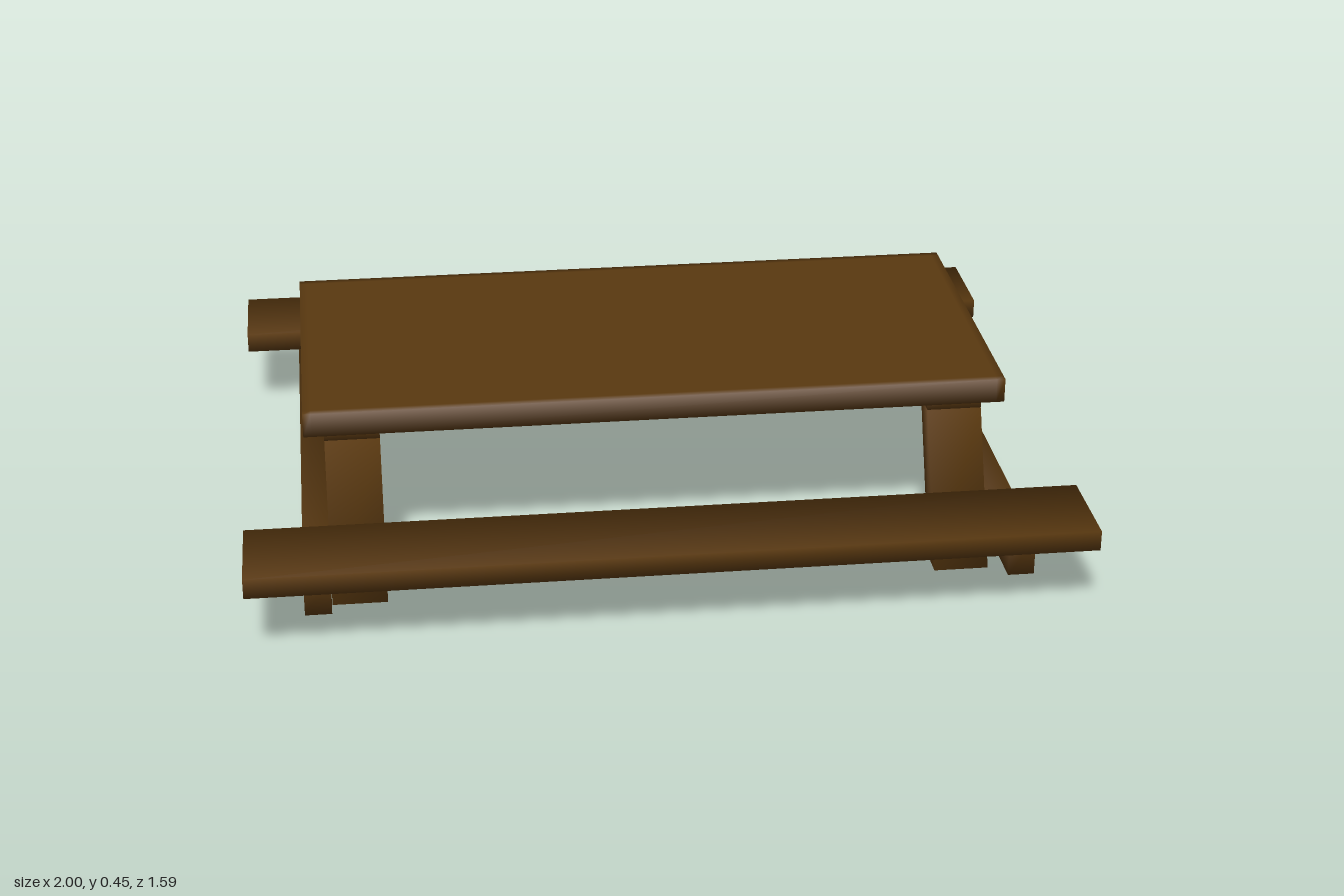
import * as THREE from 'three';

const wood = new THREE.MeshStandardMaterial({ color: 0x5a3910 });
wood.name = 'dark wood';

// Plank with soft, shared corner normals; an inset keeps the broad faces flat inside a thin rim.
function plank(name, [w, h, d], [x, y, z], { inset = 0, lean = 0 } = {}) {
  const n = inset ? 3 : 1;
  const geo = new THREE.BoxGeometry(w, h, d, n, 1, n);
  const pos = geo.attributes.position;
  const nor = geo.attributes.normal;
  const v = new THREE.Vector3();
  const half = new THREE.Vector3(w / 2, h / 2, d / 2);
  const side = (a, size) => (Math.abs(Math.abs(a) - size) < 1e-5 ? Math.sign(a) : 0);
  for (let i = 0; i < pos.count; i++) {
    v.fromBufferAttribute(pos, i);
    const sx = side(v.x, half.x), sy = side(v.y, half.y), sz = side(v.z, half.z);
    if (!sx) v.x = Math.sign(v.x) * (half.x - inset);
    if (!sz) v.z = Math.sign(v.z) * (half.z - inset);
    pos.setXYZ(i, v.x, v.y, v.z + lean * v.y);
    v.set(sx, sy - lean * sz, sz).normalize();
    nor.setXYZ(i, v.x, v.y, v.z);
  }
  const mesh = new THREE.Mesh(geo, wood);
  mesh.name = name;
  mesh.position.set(x, y, z);
  return mesh;
}

export function createModel() {
  const table = new THREE.Group();
  table.name = 'picnicTable';

  table.add(plank('tableTop', [1.7, 0.06, 0.8], [0, 0.42, 0], { inset: 0.02 }));

  // One bench seat along the front and one along the back
  for (const s of [1, -1]) {
    table.add(plank(s > 0 ? 'frontBench' : 'backBench', [2, 0.05, 0.238], [0, 0.208, s * 0.676]));
  }

  // A trestle at each end: batten, seat beam and two splayed legs
  for (const s of [1, -1]) {
    const trestle = new THREE.Group();
    trestle.name = s > 0 ? 'leftTrestle' : 'rightTrestle';
    trestle.add(plank('batten', [0.133, 0.032, 0.728], [s * 0.735, 0.375, 0]));
    trestle.add(plank('seatBeam', [0.063, 0.097, 1.436], [s * 0.833, 0.135, 0]));
    for (const f of [1, -1]) {
      trestle.add(plank(f > 0 ? 'frontLeg' : 'backLeg', [0.133, 0.36, 0.077],
        [s * 0.735, 0.18, f * 0.407], { lean: -f * 0.444 }));
    }
    table.add(trestle);
  }
  return table;
}
